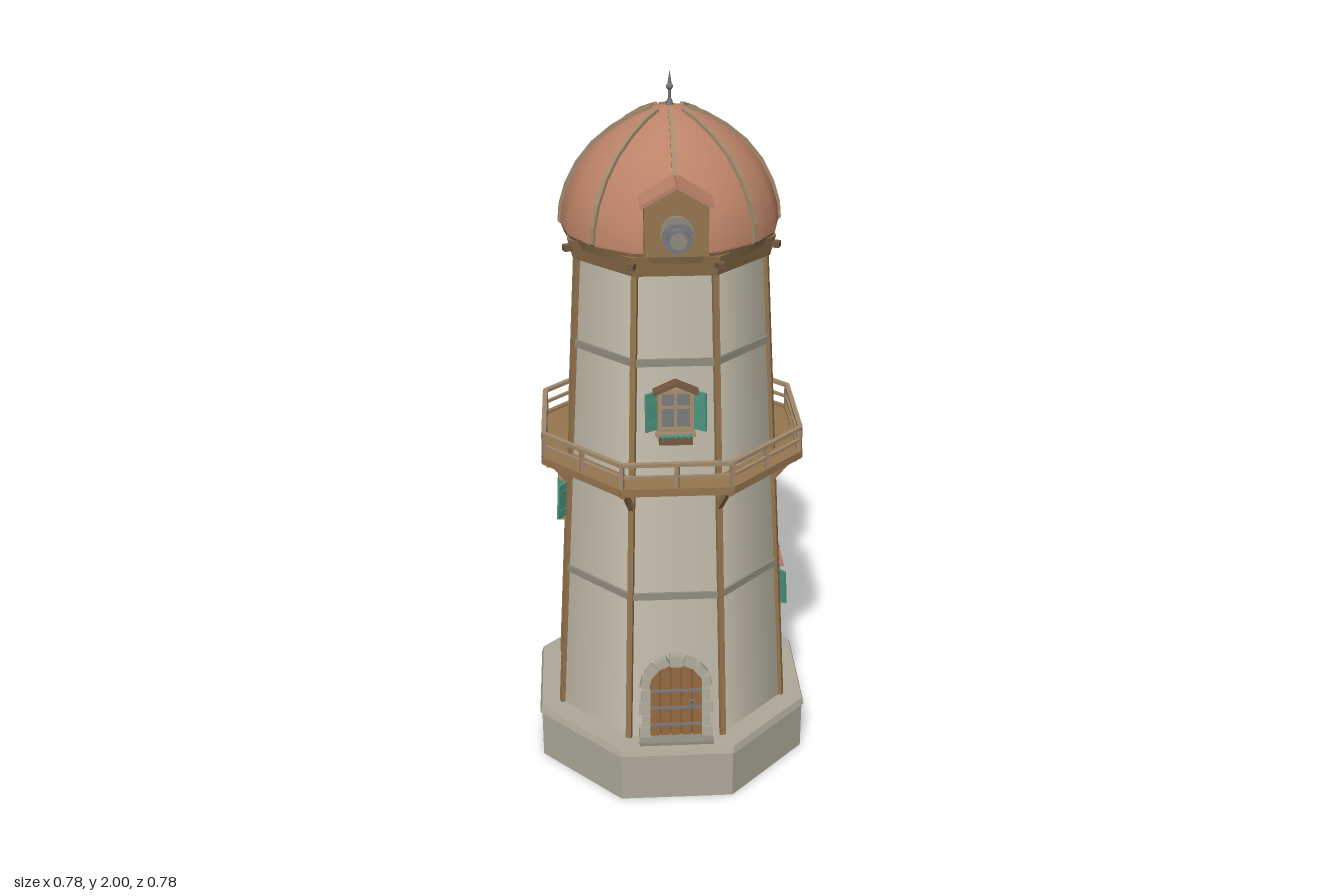
import * as THREE from 'three';

const mat = (name, color, side = THREE.FrontSide) => {
  const m = new THREE.MeshStandardMaterial({ color, side });
  m.name = name;
  return m;
};
const M = {
  wall: mat('wall plaster', 0xc6c0ae),
  stone: mat('grey stone', 0xaea999),
  band: mat('band stone', 0x8f8b7d),
  copper: mat('copper', 0xbc8368),
  wood: mat('wood', 0x96764f),
  darkWood: mat('dark wood', 0x755a40),
  trim: mat('pale wood', 0xa38a6c),
  door: mat('door wood', 0x94683f),
  metal: mat('metal', 0x77797c),
  teal: mat('teal paint', 0x4d9680),
};

const OCT = Math.PI / 8;
const COS = Math.cos(OCT);
const LEAN = Math.atan(0.056);
const apothem = (y) => 0.322 - (y - 0.17) * 0.056; // wall face distance from the axis
const polar = (a, r, y) => new THREE.Vector3(Math.sin(a) * r, y, Math.cos(a) * r);

function add(parent, name, geo, material, x = 0, y = 0, z = 0) {
  const m = new THREE.Mesh(geo, material);
  m.name = name;
  m.position.set(x, y, z);
  parent.add(m);
  return m;
}
const box = (w, h, d) => new THREE.BoxGeometry(w, h, d);

// Bar from a to b; w is the sideways width, h the other thickness
function beam(parent, name, a, b, w, h, material) {
  const m = add(parent, name, box(w, h, a.distanceTo(b)), material);
  m.position.copy(a).lerp(b, 0.5);
  m.lookAt(b);
  return m;
}

// Eight-sided drum given by its face distances, flats towards the axes
function octagon(parent, name, top, bottom, y0, y1, material, flat = true) {
  let g = new THREE.CylinderGeometry(top / COS, bottom / COS, y1 - y0, 8);
  g.rotateY(OCT);
  if (flat) { g = g.toNonIndexed(); g.computeVertexNormals(); }
  return add(parent, name, g, material, 0, (y0 + y1) / 2);
}

// Group lying on a sloping wall face, local +z outwards
function onWall(parent, name, angle, y) {
  const g = new THREE.Group();
  g.name = name;
  g.rotation.order = 'YXZ';
  g.rotation.set(-LEAN, angle, 0);
  g.position.copy(polar(angle, apothem(y), y));
  parent.add(g);
  return g;
}

function addWindow(root, angle, y, gabled) {
  const g = onWall(root, 'window', angle, y);
  add(g, 'windowPane', box(0.08, 0.1, 0.006), M.metal, 0, 0, 0.004);
  for (const s of [-1, 1]) {
    add(g, 'windowJamb', box(0.012, 0.12, 0.022), M.trim, s * 0.042, 0, 0.008);
    add(g, 'windowRail', box(0.096, 0.012, 0.022), M.trim, 0, s * 0.054, 0.008);
    // half-open shutter, hinged at the jamb
    const hinge = new THREE.Group();
    hinge.name = 'shutter';
    hinge.position.set(s * 0.048, 0, 0.008);
    hinge.rotation.y = -s * 0.65;
    g.add(hinge);
    add(hinge, 'shutterBoard', box(0.038, 0.106, 0.007), M.teal, s * 0.02, 0, 0);
    for (const t of [-1, 1]) add(hinge, 'shutterBatten', box(0.03, 0.008, 0.012), M.teal, s * 0.02, t * 0.03, 0);
  }
  add(g, 'mullion', box(0.007, 0.1, 0.014), M.trim, 0, 0, 0.006);
  add(g, 'transom', box(0.08, 0.007, 0.014), M.trim, 0, 0.008, 0.006);
  add(g, 'sill', box(0.105, 0.01, 0.034), M.trim, 0, -0.063, 0.014);
  if (gabled) {
    for (const s of [-1, 1]) {
      add(g, 'windowHood', box(0.066, 0.01, 0.04), M.darkWood, s * 0.028, 0.067, 0.016).rotation.z = -s * 0.42;
      add(g, 'flowerBoxEnd', box(0.012, 0.024, 0.03), M.darkWood, s * 0.038, -0.078, 0.016);
    }
    add(g, 'flowerBox', box(0.088, 0.02, 0.03), M.darkWood, 0, -0.08, 0.018);
    for (let i = -2; i <= 2; i++) add(g, 'plant', new THREE.IcosahedronGeometry(0.009), M.teal, i * 0.017, -0.066, 0.03);
  } else {
    add(g, 'windowHood', box(0.1, 0.008, 0.036), M.copper, 0, 0.065, 0.014).rotation.x = 0.45;
  }
}

function addDoor(root) {
  const g = onWall(root, 'door', 0, 0.17);
  const r = 0.074, spring = 0.165;
  // arched leaf of separate planks
  for (let i = 0; i < 5; i++) {
    const x0 = -r + i * r * 0.4 + 0.002, x1 = x0 + r * 0.4 - 0.004;
    const s = new THREE.Shape([new THREE.Vector2(x0, 0), new THREE.Vector2(x1, 0)]);
    for (let k = 0; k <= 4; k++) {
      const x = x1 + (x0 - x1) * k / 4;
      s.lineTo(x, spring + Math.sqrt(r * r - x * x));
    }
    add(g, 'doorPlank', new THREE.ExtrudeGeometry(s, { depth: 0.012, bevelEnabled: false }), M.door);
  }
  const back = new THREE.Shape().moveTo(-r, 0).lineTo(r, 0).lineTo(r, spring).absarc(0, spring, r, 0, Math.PI);
  add(g, 'doorBacking', new THREE.ShapeGeometry(back), M.darkWood, 0, 0, 0.004);
  for (const y of [0.045, 0.1, 0.155]) add(g, 'doorStrap', box(2 * r, 0.007, 0.006), M.metal, 0, y, 0.014);
  add(g, 'doorHandle', new THREE.TorusGeometry(0.01, 0.003, 6, 12), M.metal, 0.045, 0.115, 0.018);
  // stone surround: jambs then arch
  for (const s of [-1, 1]) for (let i = 0; i < 4; i++) {
    add(g, 'jambStone', box(i % 2 ? 0.024 : 0.032, 0.037, 0.03), M.stone, s * (i % 2 ? 0.085 : 0.089), 0.02 + i * 0.041, 0.006);
  }
  for (let i = 0; i < 7; i++) {
    const a = (i + 0.5) / 7 * Math.PI;
    add(g, i === 3 ? 'keystone' : 'archStone', box(i === 3 ? 0.034 : 0.026, 0.034, i === 3 ? 0.036 : 0.03), M.stone,
      Math.cos(a) * 0.088, spring + Math.sin(a) * 0.088, 0.006).rotation.z = a;
  }
  add(root, 'doorStep', box(0.21, 0.014, 0.06), M.band, 0, 0.172, 0.34);
}

function addBalcony(root) {
  const g = new THREE.Group();
  g.name = 'balcony';
  root.add(g);
  octagon(g, 'balconyDeck', 0.35, 0.35, 0.963, 0.976, M.wood);
  for (let i = 0; i < 8; i++) {
    const a = OCT + i * 2 * OCT, b = a + 2 * OCT;
    const at = (ang, ap, y) => polar(ang, ap / COS, y);
    beam(g, 'deckEdge', at(a, 0.352, 0.971), at(b, 0.352, 0.971), 0.014, 0.022, M.wood);
    beam(g, 'topRail', at(a, 0.35, 1.049), at(b, 0.35, 1.049), 0.013, 0.01, M.trim);
    beam(g, 'middleRail', at(a, 0.35, 1.013), at(b, 0.35, 1.013), 0.008, 0.008, M.trim);
    for (const p of [at(a, 0.35, 1.01), polar(a + OCT, 0.35, 1.01)]) {
      add(g, 'railPost', box(0.011, 0.08, 0.011), M.trim, p.x, p.y, p.z).rotation.y = a;
    }
    beam(g, 'bracket', at(a, 0.28, 0.88), at(a, 0.335, 0.962), 0.014, 0.014, M.wood);
    beam(g, 'joist', at(a, 0.26, 0.955), at(a, 0.345, 0.955), 0.014, 0.014, M.wood);
  }
}

const PROFILE = [[0.291, 1.6], [0.287, 1.645], [0.27, 1.7], [0.24, 1.758], [0.198, 1.81],
  [0.145, 1.853], [0.09, 1.885], [0.045, 1.903], [0, 1.912]];

function addDome(root) {
  const pts = PROFILE.map(([r, y]) => new THREE.Vector2(r, y));
  octagon(root, 'domeCollar', 0.272, 0.258, 1.535, 1.59, M.wood);
  add(root, 'domeRim', new THREE.CylinderGeometry(0.291, 0.28, 0.03, 16), M.wood, 0, 1.588);
  add(root, 'dome', new THREE.LatheGeometry(pts, 16), M.copper);
  // ribs follow the dome curve, stopping short of the top
  const curve = pts.slice(0, 8);
  const outer = curve.map((p) => new THREE.Vector2(p.x + 0.006, p.y + 0.006));
  const inner = curve.map((p) => new THREE.Vector2(p.x - 0.01, p.y - 0.01));
  for (let i = 0; i < 8; i++) {
    const g = new THREE.ExtrudeGeometry(new THREE.Shape([...outer, ...inner.reverse()]), { depth: 0.012, bevelEnabled: false });
    inner.reverse();
    g.translate(0, 0, -0.006);
    add(root, 'domeRib', g, M.trim).rotation.y = i * 2 * OCT;
    const a = OCT + i * 2 * OCT;
    const p = polar(a, 0.29, 1.567);
    add(root, 'collarPeg', box(0.02, 0.016, 0.03), M.darkWood, p.x, p.y, p.z).rotation.y = a;
  }
  // finial
  add(root, 'finialBase', new THREE.CylinderGeometry(0.006, 0.012, 0.02, 8), M.metal, 0, 1.915);
  add(root, 'finialRod', new THREE.CylinderGeometry(0.003, 0.004, 0.06, 8), M.metal, 0, 1.94);
  add(root, 'finialBall', new THREE.SphereGeometry(0.009, 10, 8), M.metal, 0, 1.957);
  add(root, 'finialSpike', new THREE.ConeGeometry(0.006, 0.038, 8), M.metal, 0, 1.981);
}

function addDormer(root) {
  const g = new THREE.Group();
  g.name = 'dormer';
  root.add(g);
  const s = new THREE.Shape([[-0.08, 1.605], [0.08, 1.605], [0.08, 1.735], [0, 1.78], [-0.08, 1.735]].map((p) => new THREE.Vector2(...p)));
  add(g, 'dormerBody', new THREE.ExtrudeGeometry(s, { depth: 0.15, bevelEnabled: false }), M.wood, 0, 0, 0.165);
  for (const k of [-1, 1]) {
    add(g, 'dormerRoof', box(0.104, 0.01, 0.165), M.copper, k * 0.045, 1.76, 0.24).rotation.z = -k * 0.512;
  }
  // telescope: radius, length, centre z
  for (const [name, r, len, z, m] of [['scopeTube', 0.028, 0.1, 0.34, M.metal], ['scopeMount', 0.042, 0.012, 0.32, M.band],
    ['scopeRing', 0.038, 0.016, 0.365, M.metal], ['scopeLens', 0.021, 0.004, 0.391, M.band]]) {
    add(g, name, new THREE.CylinderGeometry(r, r, len, 20).rotateX(Math.PI / 2), m, 0, 1.67, z);
  }
}

function addFan(root) {
  const g = new THREE.Group();
  g.name = 'tailFan';
  root.add(g);
  const hub = new THREE.Vector3(0, 1.772, -0.32);
  for (const s of [-1, 1]) {
    beam(g, 'fanSupport', new THREE.Vector3(s * 0.024, 1.69, -0.255), new THREE.Vector3(s * 0.018, hub.y, hub.z), 0.008, 0.012, M.trim);
  }
  add(g, 'fanAxle', new THREE.CylinderGeometry(0.008, 0.008, 0.05, 10).rotateZ(Math.PI / 2), M.metal, 0, hub.y, hub.z);
  for (let i = 0; i < 6; i++) {
    const arm = new THREE.Group();
    arm.name = 'fanArm';
    arm.position.copy(hub);
    arm.rotation.x = i * Math.PI / 3;
    g.add(arm);
    add(arm, 'fanBlade', box(0.026, 0.056, 0.004), M.trim, 0, 0.04, 0).rotation.y = 0.4;
  }
}

export function createModel() {
  const root = new THREE.Group();
  root.name = 'tower';
  // plinth with a slightly projecting lip
  octagon(root, 'plinth', 0.384, 0.384, 0, 0.15, M.stone);
  octagon(root, 'plinthLip', 0.384, 0.39, 0.15, 0.17, M.stone);
  octagon(root, 'wall', apothem(1.55), apothem(0.165), 0.165, 1.55, M.wall, false);
  for (const y of [0.62, 1.3]) {
    octagon(root, 'wallBand', apothem(y) + 0.006, apothem(y) + 0.007, y - 0.01, y + 0.01, M.band);
  }
  for (let i = 0; i < 8; i++) {
    const a = OCT + i * 2 * OCT;
    beam(root, 'cornerPost', polar(a, apothem(0.17) / COS, 0.17), polar(a, apothem(1.55) / COS, 1.55), 0.016, 0.016, M.wood);
  }
  addDoor(root);
  addWindow(root, 0, 1.17, true);
  addWindow(root, Math.PI / 2, 0.5, false);
  addWindow(root, -Math.PI / 2, 0.8, false);
  addWindow(root, Math.PI, 1.38, false);
  addBalcony(root);
  addDome(root);
  addDormer(root);
  addFan(root);
  return root;
}
